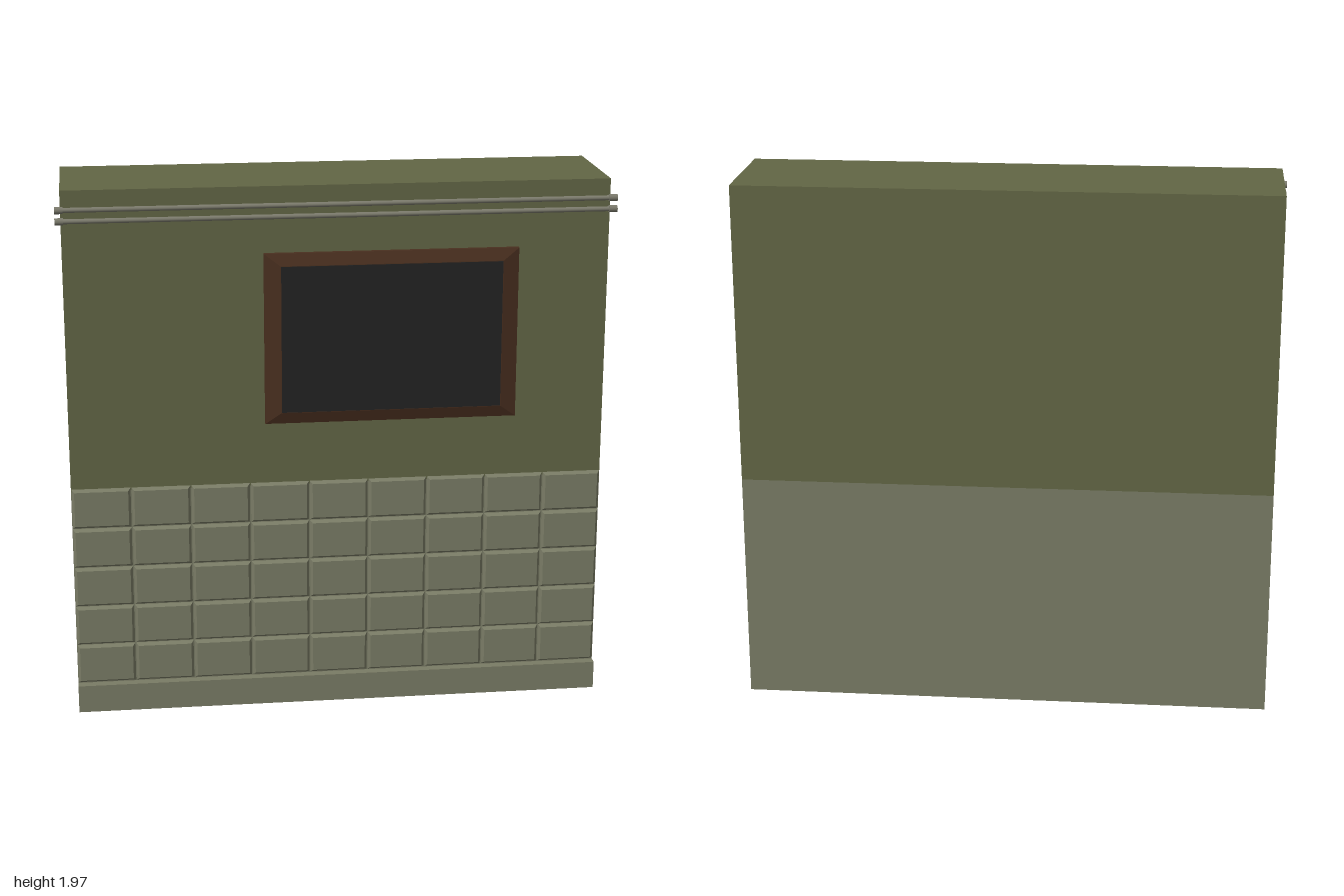
import * as THREE from 'three';

const mat = (name, color) => {
  const m = new THREE.MeshStandardMaterial({ color });
  m.name = name;
  return m;
};

export function createModel() {
  const group = new THREE.Group();
  const green = mat('olive green paint', 0x626645);
  const grey = mat('grey green tile', 0x797b65);
  const wood = mat('dark wood', 0x492f1f);
  const slate = mat('black board', 0x232323);
  const metal = mat('pipe grey', 0x7b7a6c);

  const add = (name, geometry, material) => {
    const mesh = new THREE.Mesh(geometry, material);
    mesh.name = name;
    group.add(mesh);
    return mesh;
  };

  // Box given by its corner ranges
  const box = (x0, x1, y0, y1, z0, z1) =>
    new THREE.BoxGeometry(x1 - x0, y1 - y0, z1 - z0)
      .translate((x0 + x1) / 2, (y0 + y1) / 2, (z0 + z1) / 2);

  // Block with straight sides up to zm, then sloping in to a smaller front at z1
  const bevelled = (x0, x1, y0, y1, z0, zm, z1, inX, inY) => {
    const g = new THREE.BoxGeometry(x1 - x0, y1 - y0, 1, 1, 1, 2);
    const p = g.attributes.position;
    for (let i = 0; i < p.count; i++) {
      const z = p.getZ(i);
      if (z > 0.25) {
        p.setX(i, p.getX(i) - Math.sign(p.getX(i)) * inX);
        p.setY(i, p.getY(i) - Math.sign(p.getY(i)) * inY);
      }
      p.setZ(i, z > 0.25 ? z1 : z < -0.25 ? z0 : zm);
    }
    const flat = g.toNonIndexed();
    flat.computeVertexNormals();
    return flat.translate((x0 + x1) / 2, (y0 + y1) / 2, 0);
  };

  // Wall in two paint colours, and skirting
  const W = 0.98, back = -0.247, front = 0.21, split = 0.86;
  add('lowerWall', box(-W, W, 0, split, back, front), grey);
  add('upperWall', box(-W, W, split, 1.97, back, front), green);
  add('skirting', box(-W, W, 0, 0.105, front - 0.01, 0.243), grey);

  // Bevelled tiles, nine by five
  const cols = 9, rows = 5, y0 = 0.108, gap = 0.002;
  const tw = (2 * W) / cols, th = (0.872 - y0) / rows;
  for (let r = 0; r < rows; r++) {
    for (let c = 0; c < cols; c++) {
      const x = -W + c * tw, y = y0 + r * th;
      add('tile', bevelled(x + gap, x + tw - gap, y + gap, y + th - gap,
        front - 0.002, front + 0.004, 0.225, 0.009, 0.009), grey);
    }
  }

  // Framed board
  add('boardFrame', bevelled(-0.27, 0.65, 1.10, 1.73, front - 0.005, 0.227, 0.242, 0.058, 0.043), wood);
  add('boardPanel', box(-0.21, 0.59, 1.145, 1.685, 0.24, 0.244), slate);

  // Two pipes with end collars and wall clips
  const rod = (r, x0, x1, y) => new THREE.CylinderGeometry(r, r, x1 - x0, 12)
    .rotateZ(Math.PI / 2).translate((x0 + x1) / 2, y, 0.234);
  for (const y of [1.905, 1.865]) {
    add('pipe', rod(0.009, -0.99, 0.99, y), metal);
    for (const s of [-1, 1]) {
      add('pipeCollar', rod(0.013, s * 0.985 - 0.015, s * 0.985 + 0.015, y), metal);
      add('pipeClip', box(s * 0.97 - 0.006, s * 0.97 + 0.006, y - 0.004, y + 0.004, front - 0.002, 0.234), metal);
    }
  }
  return group;
}
